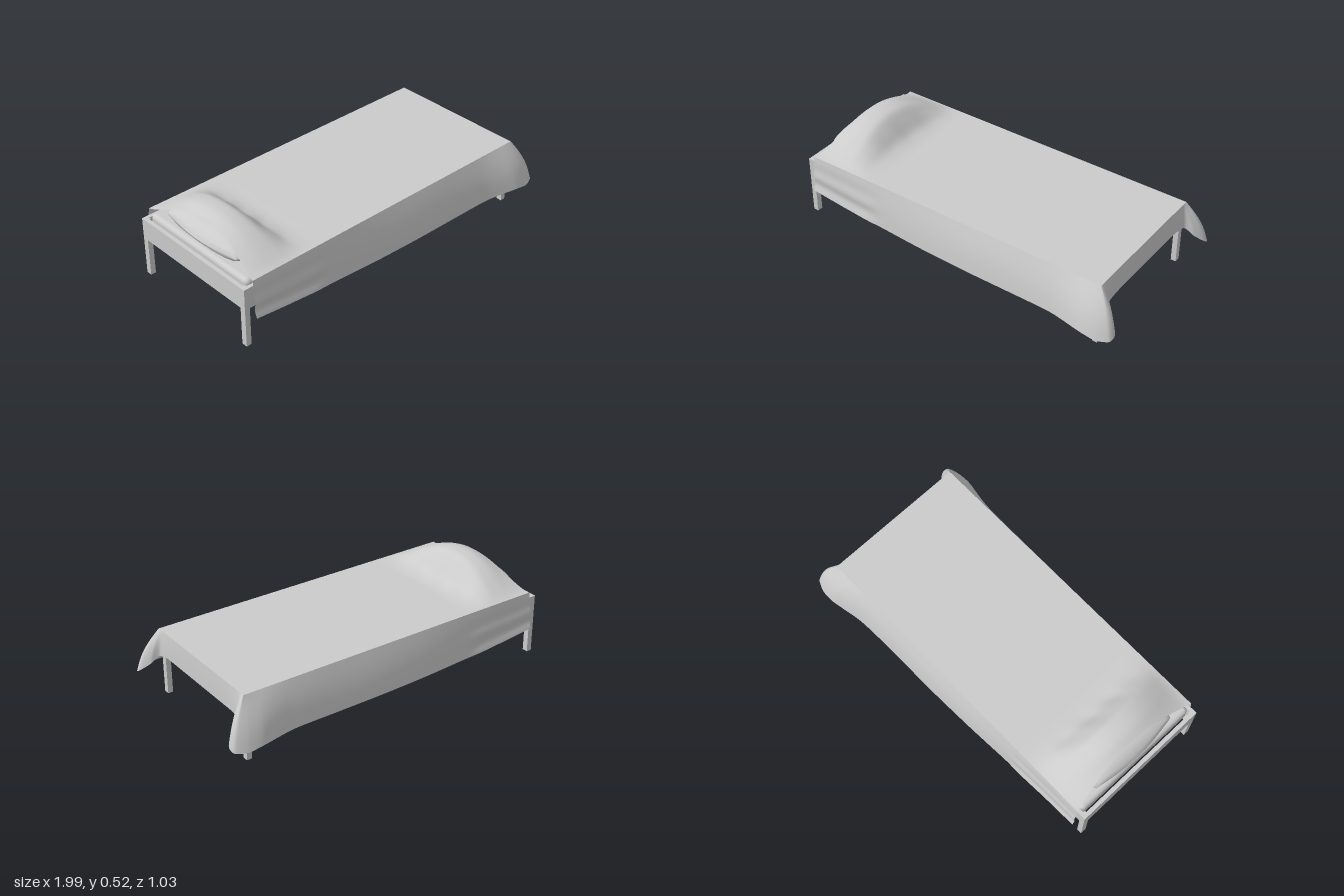
import * as THREE from 'three';
import { ParametricGeometry } from 'three/addons/geometries/ParametricGeometry.js';
import { RoundedBoxGeometry } from 'three/addons/geometries/RoundedBoxGeometry.js';

const grey = new THREE.MeshStandardMaterial({ color: 0xcccccc });
const cloth = new THREE.MeshStandardMaterial({ color: 0xcccccc, side: THREE.DoubleSide });

const HALF = 0.41;   // half width of the bed
const FOOT = 0.88;   // foot edge of the blanket
const TOP = 0.375;   // flat height of the blanket

// Swelling of the blanket over the pillow, sampled every 0.05 from x = -1
const swell = new THREE.SplineCurve(
  [0.06, 0.095, 0.12, 0.14, 0.143, 0.132, 0.085, 0.03, 0.008, 0, 0].map((h, i) => new THREE.Vector2(i, h)));

function blanketHeight(x, z) {
  const u = Math.min(Math.abs(z) / HALF, 1);
  const t = THREE.MathUtils.clamp((x - 0.04 * u * u + 1) / 0.5, 0, 1);
  const crease = 0.004 * Math.sin(z * 38 + x * 20) * Math.exp(-(((x + 0.66) / 0.05) ** 2)) * (1 - u);
  return TOP + swell.getPoint(t).y * Math.pow(1 - Math.pow(u, 2.2), 1.4) + crease;
}

function surface(name, fn, nu, nv) {
  const geo = new ParametricGeometry(fn, nu, nv);
  geo.computeVertexNormals();
  const mesh = new THREE.Mesh(geo, cloth);
  mesh.name = name;
  return mesh;
}

function blanketTop() {
  return surface('blanketTop', (u, v, p) => {
    const z = (v * 2 - 1) * HALF;
    const head = -0.9 - 0.05 * (z / HALF) ** 2;
    const x = THREE.MathUtils.lerp(head, FOOT, Math.pow(u, 1.6));
    p.set(x, blanketHeight(x, z), z);
  }, 90, 48);
}

function blanketSkirt() {
  // Each station: top edge x, z, then hem x, y, z
  const side = [
    [-0.95, HALF, -0.955, 0.165, 0.43], [-0.75, HALF, -0.75, 0.145, 0.432],
    [-0.5, HALF, -0.5, 0.132, 0.442], [-0.2, HALF, -0.2, 0.128, 0.458],
    [0.1, HALF, 0.1, 0.128, 0.468], [0.4, HALF, 0.4, 0.128, 0.47],
    [0.62, HALF, 0.64, 0.134, 0.48], [0.78, HALF, 0.83, 0.135, 0.515],
    [0.85, HALF, 0.92, 0.122, 0.512], [FOOT, HALF, 0.985, 0.125, 0.485],
    [FOOT, 0.405, 0.993, 0.145, 0.445], [FOOT, 0.395, 0.95, 0.19, 0.4],
    [FOOT, 0.37, 0.9, 0.235, 0.375], [FOOT, 0.28, 0.888, 0.242, 0.28],
    [FOOT, 0.1, 0.886, 0.242, 0.1],
  ];
  const far = side.map(([a, b, c, d, e]) => [a, -b, c, d, -e]).reverse();
  const stations = [...side, ...far];
  const curve = (pick) => new THREE.CatmullRomCurve3(
    stations.map((s) => new THREE.Vector3(...pick(s))), false, 'catmullrom', 0.35);
  const edge = curve((s) => [s[0], TOP, s[1]]);
  const hem = curve((s) => [s[2], s[3], s[4]]);
  return surface('blanketSkirt', (u, v, p) => {
    const a = edge.getPoint(u), b = hem.getPoint(u);
    const out = v + 0.15 * Math.sin(Math.PI * v);
    p.set(THREE.MathUtils.lerp(a.x, b.x, out), THREE.MathUtils.lerp(a.y, b.y, v), THREE.MathUtils.lerp(a.z, b.z, out));
    // Long soft folds beside the pillow
    const fold = THREE.MathUtils.smoothstep(-p.x, 0.45, 0.6);
    p.z += Math.sign(p.z) * 0.006 * fold * Math.sin(v * 14) * v;
  }, 232, 18);
}

function pillow() {
  const geo = new THREE.SphereGeometry(1, 40, 28);
  const pos = geo.attributes.position;
  for (let i = 0; i < pos.count; i++) {
    // Spread the ball into a square cushion with thin edges
    let x = pos.getX(i), z = pos.getZ(i);
    const y = pos.getY(i), r = Math.hypot(x, z);
    const m = Math.max(Math.abs(x), Math.abs(z)) || 1;
    const k = THREE.MathUtils.lerp(1, r / m, 0.6);
    x *= k;
    z *= k;
    const thick = Math.pow(Math.max(0, 1 - Math.abs(x) ** 3) * Math.max(0, 1 - Math.abs(z) ** 3), 0.8);
    pos.setXYZ(i, x * 0.145 * (1 - 0.12 * z * z), Math.sign(y) * 0.07 * thick * Math.min(1, Math.abs(y) * 3), z * 0.3);
  }
  geo.computeVertexNormals();
  const mesh = new THREE.Mesh(geo, grey);
  mesh.name = 'pillow';
  mesh.position.set(-0.82, 0.41, 0);
  return mesh;
}

// Box given by its lower and upper corners
function box(name, x0, x1, y0, y1, z0, z1) {
  const mesh = new THREE.Mesh(new THREE.BoxGeometry(x1 - x0, y1 - y0, z1 - z0), grey);
  mesh.name = name;
  mesh.position.set((x0 + x1) / 2, (y0 + y1) / 2, (z0 + z1) / 2);
  return mesh;
}

function bedFrame() {
  const frame = new THREE.Group();
  frame.name = 'bedFrame';
  for (const s of [-1, 1]) {
    const band = (a, b) => (s > 0 ? [a, b] : [-b, -a]);
    frame.add(box('headLeg', -1, -0.97, 0, 0.34, ...band(0.372, 0.405)));
    frame.add(box('footLeg', 0.843, 0.872, 0, 0.34, ...band(0.372, 0.405)));
    frame.add(box('sideRail', -0.97, 0.843, 0.22, 0.34, ...band(0.385, 0.405)));
    frame.add(box('slatLedge', -0.97, 0.843, 0.238, 0.252, ...band(0.36, 0.385)));
  }
  frame.add(box('headRail', -1, -0.978, 0.22, 0.34, -0.372, 0.372));
  frame.add(box('footRail', 0.85, 0.872, 0.22, 0.34, -0.372, 0.372));
  frame.add(box('centreBeam', -0.95, 0.85, 0.222, 0.25, -0.02, 0.02));
  // Cross slats
  const count = 17;
  for (let i = 0; i < count; i++) {
    const x = -0.88 + i * 0.1;
    frame.add(box('slat', x, x + 0.08, 0.252, 0.262, -0.385, 0.385));
  }
  return frame;
}

export function createModel() {
  const bed = new THREE.Group();
  bed.name = 'bed';
  const mattress = new THREE.Mesh(new RoundedBoxGeometry(1.81, 0.1, 0.765, 4, 0.025), grey);
  mattress.name = 'mattress';
  mattress.position.set(-0.06, 0.314, 0);
  bed.add(bedFrame(), mattress, pillow(), blanketTop(), blanketSkirt());
  bed.position.z = -0.008;
  const model = new THREE.Group();
  model.add(bed);
  return model;
}
